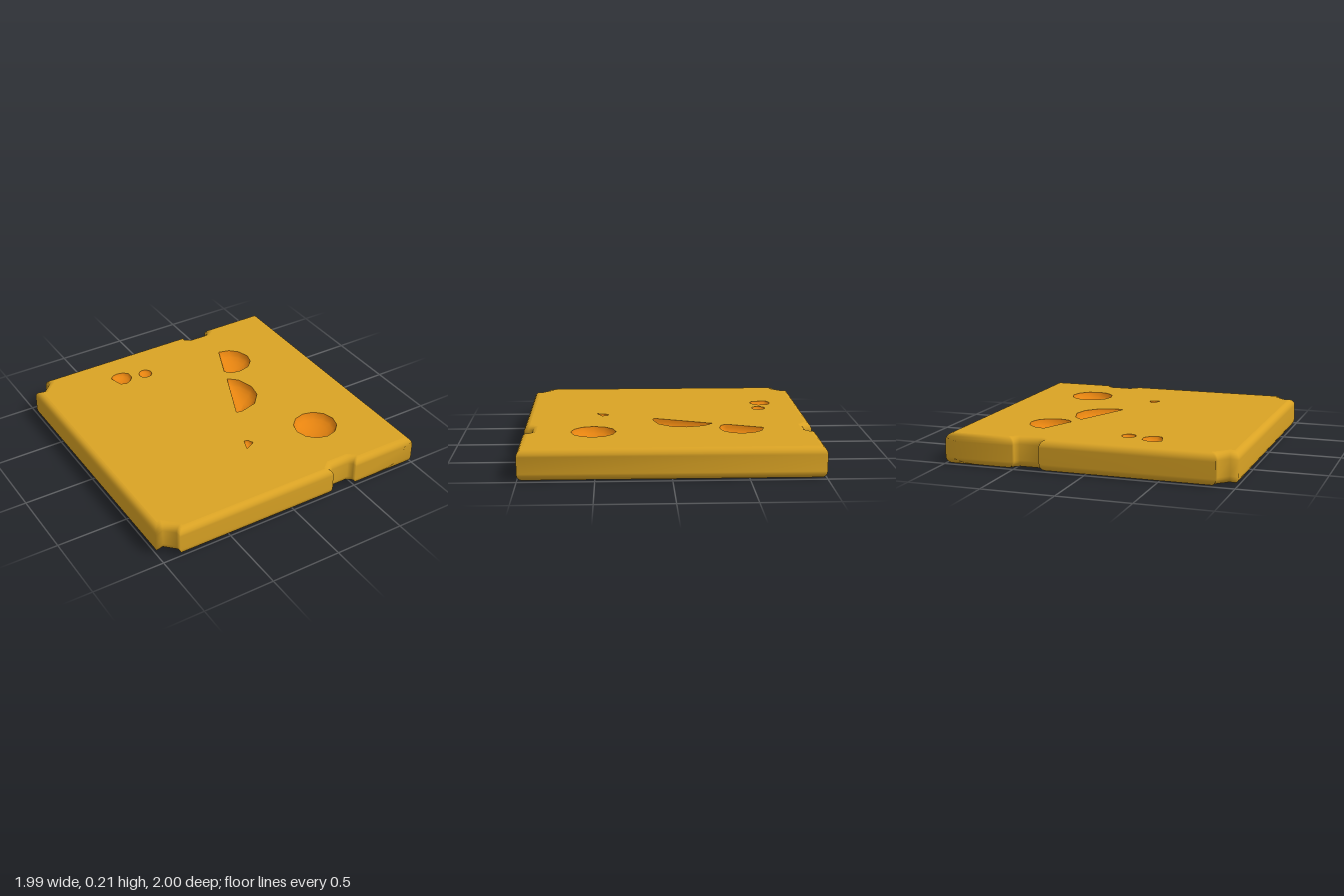
import * as THREE from 'three';

const HEIGHT = 0.21, MID = HEIGHT / 2, ROUND_Y = 0.05, ROUND_XZ = 0.042;

// Half of the slice outline [x, z]; the other half is its mirror in z
const half = [
  [-1, 0.905], [-0.94, 0.89], [-0.875, 0.955], [-0.875, 1],
  [0.315, 1], [0.315, 0.968], [0.345, 0.944], [0.475, 0.944], [0.505, 0.968], [0.505, 1],
  [0.99, 1],
];
const outline = [...half, ...half.map(([x, z]) => [x, -z]).reverse()].map(([x, z]) => new THREE.Vector2(x, z));

// Moves the outline inwards with mitred corners
function inset(points, d) {
  const n = points.length;
  const normal = (a, b) => new THREE.Vector2(a.y - b.y, b.x - a.x).normalize();
  return points.map((p, i) => {
    const n1 = normal(points[(i + n - 1) % n], p);
    const n2 = normal(p, points[(i + 1) % n]);
    const k = d / (1 + n1.dot(n2));
    return new THREE.Vector2(p.x - (n1.x + n2.x) * k, p.y - (n1.y + n2.y) * k);
  });
}

// Joins closed rings of points [x, y, z], optionally ending in one tip
function loft(rings, tip) {
  const n = rings[0].length, index = [];
  const pos = rings.flat(2);
  for (let r = 0; r < rings.length - 1; r++) {
    for (let i = 0; i < n; i++) {
      const j = (i + 1) % n, a = r * n + i, b = r * n + j;
      index.push(a, b, b + n, a, b + n, a + n);
    }
  }
  if (tip) {
    const base = (rings.length - 1) * n;
    pos.push(...tip);
    for (let i = 0; i < n; i++) index.push(base + i, base + (i + 1) % n, base + n);
  }
  const geo = new THREE.BufferGeometry();
  geo.setAttribute('position', new THREE.Float32BufferAttribute(pos, 3));
  geo.setIndex(index);
  geo.computeVertexNormals();
  return geo;
}

function circle(x, z, r, sides) {
  return Array.from({ length: sides }, (_, i) => {
    const a = (i / sides) * Math.PI * 2;
    return [x + r * Math.cos(a), z + r * Math.sin(a)];
  });
}

// Pit rims [x, z] with their depths
const pits = [
  { depth: 0.07, rim: circle(0.505, 0.515, 0.153, 12) },
  { depth: 0.025, rim: circle(-0.2, -0.685, 0.049, 12) },
  { depth: 0.035, rim: [[-0.45, -0.755], [-0.424, -0.66], [-0.385, -0.64], [-0.34, -0.66], [-0.31, -0.695],
    [-0.31, -0.75], [-0.34, -0.78], [-0.385, -0.79], [-0.425, -0.78]] },
  { depth: 0.07, rim: [[0.425, -0.65], [0.505, -0.63], [0.56, -0.575], [0.585, -0.49], [0.565, -0.42],
    [0.51, -0.365], [0.43, -0.345], [0.355, -0.36], [0.32, -0.4]] },
  { depth: 0.07, rim: [[0.285, -0.305], [0.35, -0.245], [0.385, -0.125], [0.365, -0.02], [0.285, 0.07],
    [0.155, 0.105], [0.115, 0.095]] },
  { depth: 0.02, rim: [[-0.055, 0.5], [-0.025, 0.415], [0, 0.42], [0.02, 0.46]] },
];

// Rounded bowl below a rim; the rim runs anticlockwise seen from above
function bowl(rim, depth) {
  let pts = rim.map(([x, z]) => new THREE.Vector2(x, -z));
  if (THREE.ShapeUtils.isClockWise(pts)) pts = pts.reverse();
  const c = pts.reduce((s, p) => s.add(p), new THREE.Vector2()).divideScalar(pts.length);
  const rings = [];
  for (let k = 0; k < 5; k++) {
    const a = (k / 5) * Math.PI / 2, s = Math.cos(a);
    rings.push(pts.map((p) => [c.x + (p.x - c.x) * s, MID - depth * Math.sin(a), -(c.y + (p.y - c.y) * s)]));
  }
  return loft(rings, [c.x, MID - depth, -c.y]);
}

export function createModel() {
  const rindMat = new THREE.MeshStandardMaterial({ color: 0xdaa324 });
  rindMat.name = 'golden cheese';
  const pitMat = new THREE.MeshStandardMaterial({ color: 0xea8610 });
  pitMat.name = 'orange pit';

  const group = new THREE.Group();
  group.name = 'cheeseSlice';
  const add = (parent, geo, mat, name) => {
    const mesh = new THREE.Mesh(geo, mat);
    mesh.name = name;
    parent.add(mesh);
  };

  // Rounded rim around the slice
  const rings = [];
  for (const side of [-1, 1]) {
    for (let k = 0; k <= 5; k++) {
      const a = ((side < 0 ? k - 5 : k) / 5) * Math.PI / 2;
      const y = side * (MID - ROUND_Y) + ROUND_Y * Math.sin(a) + MID;
      rings.push(inset(outline, ROUND_XZ * (1 - Math.cos(a))).map((p) => [p.x, y, p.y]));
    }
  }
  add(group, loft(rings), rindMat, 'roundedRim');

  // Flat face with openings, and its pits
  const face = new THREE.Group();
  face.name = 'topFace';
  const shape = new THREE.Shape(inset(outline, ROUND_XZ).map((p) => new THREE.Vector2(p.x, -p.y)));
  for (const { rim } of pits) shape.holes.push(new THREE.Path(rim.map(([x, z]) => new THREE.Vector2(x, -z))));
  add(face, new THREE.ShapeGeometry(shape).rotateX(-Math.PI / 2).translate(0, MID, 0), rindMat, 'flatSurface');
  pits.forEach(({ rim, depth }) => add(face, bowl(rim, depth), pitMat, 'pit'));
  face.position.y = MID;

  // The underside is the same face turned over
  const under = face.clone();
  under.name = 'bottomFace';
  under.rotation.x = Math.PI;
  group.add(face, under);
  return group;
}
